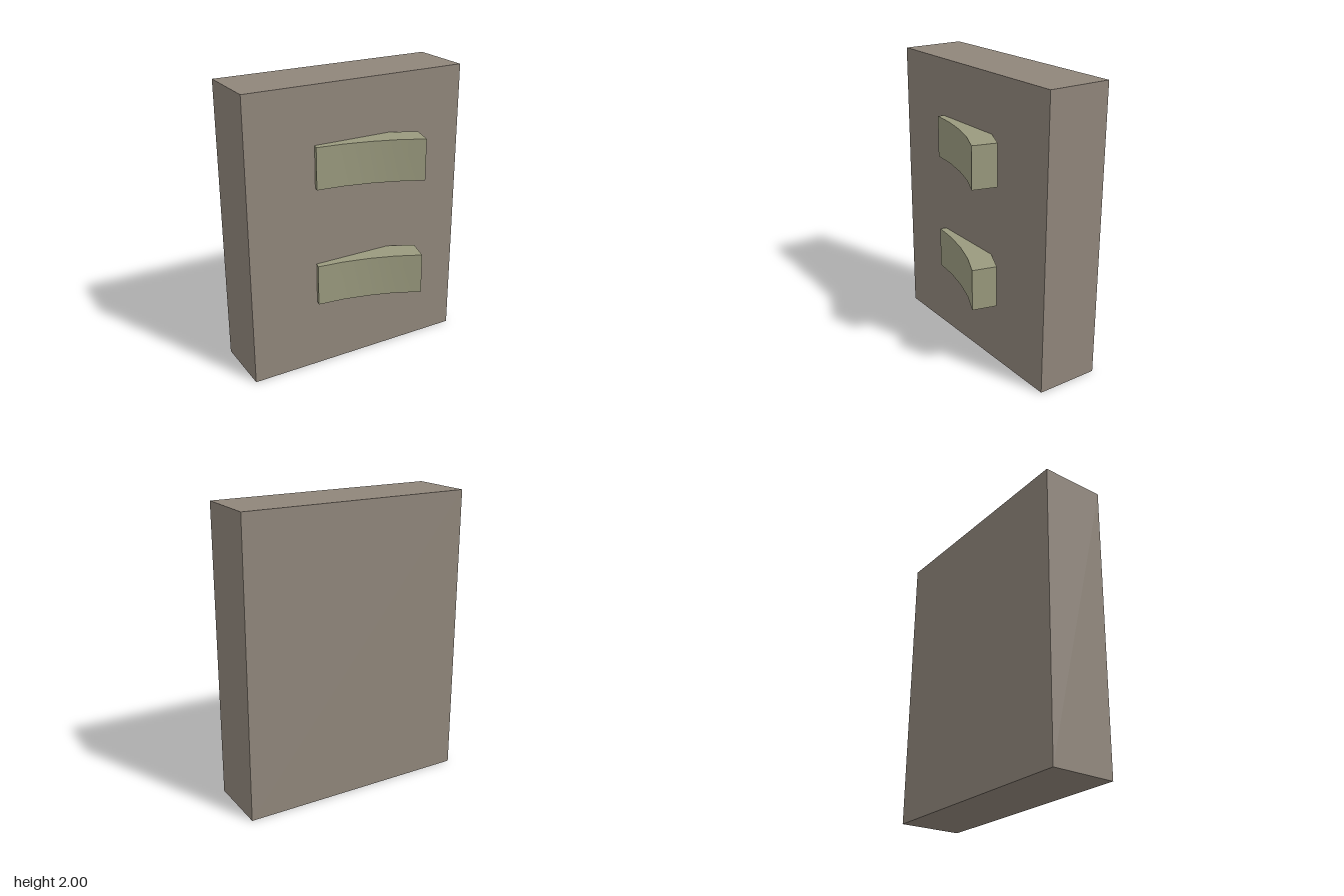
import * as THREE from 'three';
import { toCreasedNormals } from 'three/addons/utils/BufferGeometryUtils.js';

const SLAB = { width: 1.6, height: 2, back: -0.345, front: 0.1 };
const GRIP_HEIGHT = 0.286;

// Curved bar seen from above: a bowed front edge, repeated further back as [x, z]
function gripGeometry() {
  const front = [[-0.33, 0.143], [-0.15, 0.165], [0.03, 0.207], [0.2, 0.265], [0.37, 0.345]];
  const back = front.map(([x, z]) => [x + 0.043, z - 0.163]).reverse();
  const outline = [...front, ...back].map(([x, z]) => new THREE.Vector2(x, -z));
  const geometry = new THREE.ExtrudeGeometry(new THREE.Shape(outline), {
    depth: GRIP_HEIGHT, bevelEnabled: false,
  });
  geometry.rotateX(-Math.PI / 2);
  return toCreasedNormals(geometry, 0.5);
}

export function createModel() {
  const model = new THREE.Group();
  model.name = 'panelWithGrips';

  // Thick upright slab
  const depth = SLAB.front - SLAB.back;
  const slab = new THREE.Mesh(
    new THREE.BoxGeometry(SLAB.width, SLAB.height, depth),
    new THREE.MeshStandardMaterial({ color: 0x8f857a })
  );
  slab.name = 'slab';
  slab.position.set(0, SLAB.height / 2, (SLAB.front + SLAB.back) / 2);
  model.add(slab);

  // Two identical grips half sunk into the front face
  const geometry = gripGeometry();
  const material = new THREE.MeshStandardMaterial({ color: 0x9a9a7e });
  for (const [name, y] of [['lowerGrip', 0.491], ['upperGrip', 1.323]]) {
    const grip = new THREE.Mesh(geometry, material);
    grip.name = name;
    grip.position.y = y;
    model.add(grip);
  }
  return model;
}
